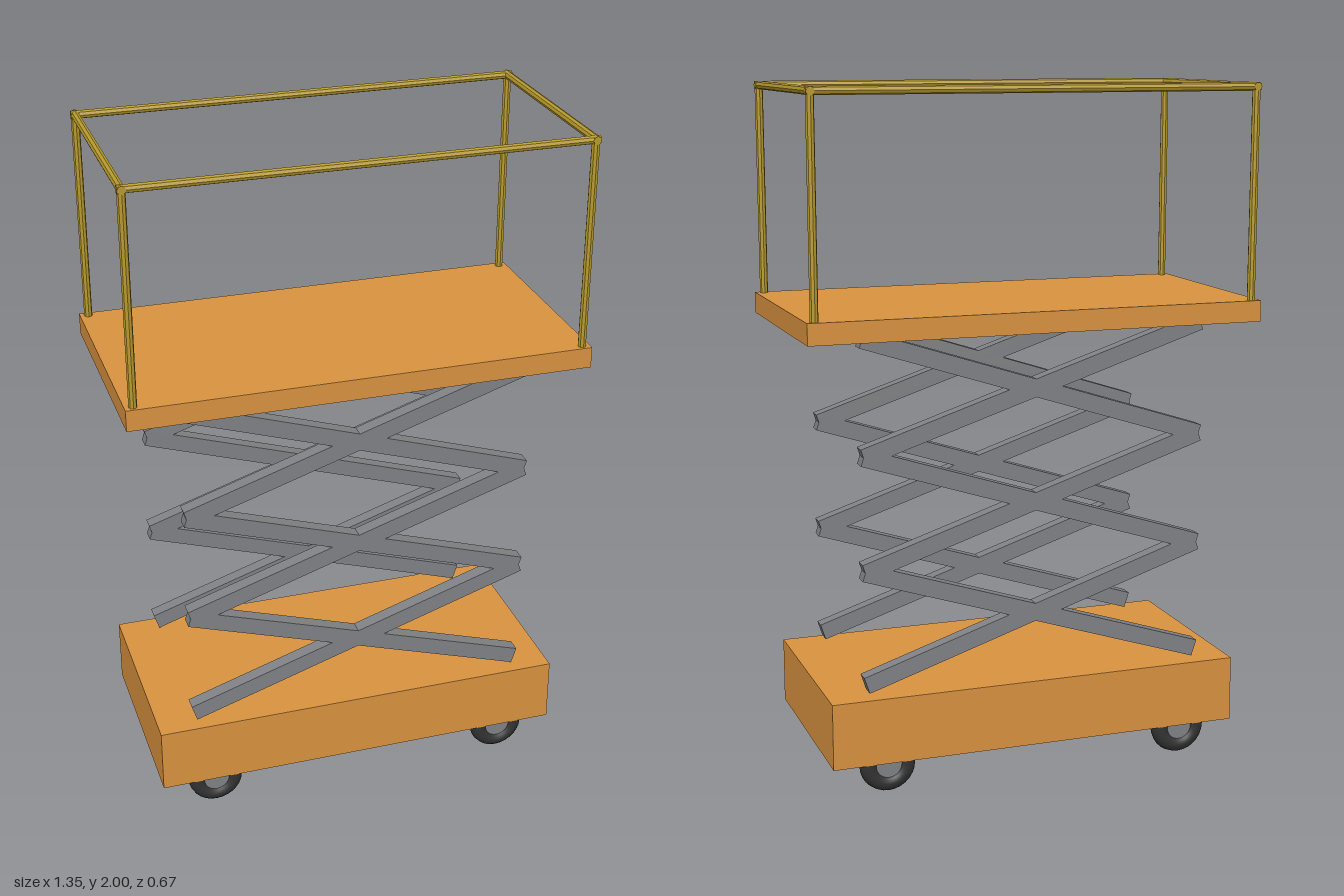
import * as THREE from 'three';

const mat = (name, color) => {
  const m = new THREE.MeshStandardMaterial({ color });
  m.name = name;
  return m;
};

export function createModel() {
  const orange = mat('orange paint', 0xd9923f);
  const yellow = mat('rail yellow', 0xb89a2c);
  yellow.flatShading = true;
  const steel = mat('steel grey', 0x808285);
  const rubber = mat('tyre rubber', 0x333333);

  const model = new THREE.Group();
  model.name = 'scissorLift';
  const add = (name, geometry, material, parent = model) => {
    const mesh = new THREE.Mesh(geometry, material);
    mesh.name = name;
    parent.add(mesh);
    return mesh;
  };

  // Chassis and work platform
  add('chassis', new THREE.BoxGeometry(1.24, 0.195, 0.62), orange).position.y = 0.1875;
  add('platform', new THREE.BoxGeometry(1.35, 0.062, 0.67), orange).position.y = 1.345;

  // Wheels: rounded tyre around a grey hub
  const tyre = new THREE.TorusGeometry(0.056, 0.027, 12, 28);
  const hub = new THREE.CylinderGeometry(0.046, 0.046, 0.038, 24).rotateX(Math.PI / 2);
  for (const x of [-0.455, 0.455]) {
    for (const z of [-0.283, 0.283]) {
      const wheel = new THREE.Group();
      wheel.name = 'wheel';
      wheel.position.set(x, 0.083, z);
      add('tyre', tyre, rubber, wheel);
      add('hub', hub, steel, wheel);
      model.add(wheel);
    }
  }

  // Scissor arms: three crossed pairs on each side
  const levels = 3, bottom = 0.319, rise = 0.332, run = 1.02;
  const arm = new THREE.BoxGeometry(Math.hypot(run, rise), 0.05, 0.042);
  const tilt = Math.atan2(rise, run);
  for (const z of [-0.258, 0.258]) {
    for (let i = 0; i < levels; i++) {
      for (const s of [-1, 1]) {
        const mesh = add('scissorArm', arm, steel);
        mesh.position.set(0, bottom + rise * (i + 0.5), z);
        mesh.rotation.z = s * tilt;
      }
    }
  }

  // Guard rail: four posts and a top frame
  const r = 0.012, px = 0.651, pz = 0.316, top = 2 - r, deck = 1.37;
  const bar = (length) => new THREE.CylinderGeometry(r, r, length, 8);
  for (const s of [-1, 1]) {
    for (const t of [-1, 1]) {
      add('railPost', bar(top - deck), yellow).position.set(s * px, (top + deck) / 2, t * pz);
    }
    const long = add('longRail', bar(2 * (px + r)), yellow);
    long.rotation.z = Math.PI / 2;
    long.position.set(0, top, s * pz);
    const short = add('endRail', bar(2 * (pz + r)), yellow);
    short.rotation.x = Math.PI / 2;
    short.position.set(s * px, top, 0);
  }

  return model;
}
